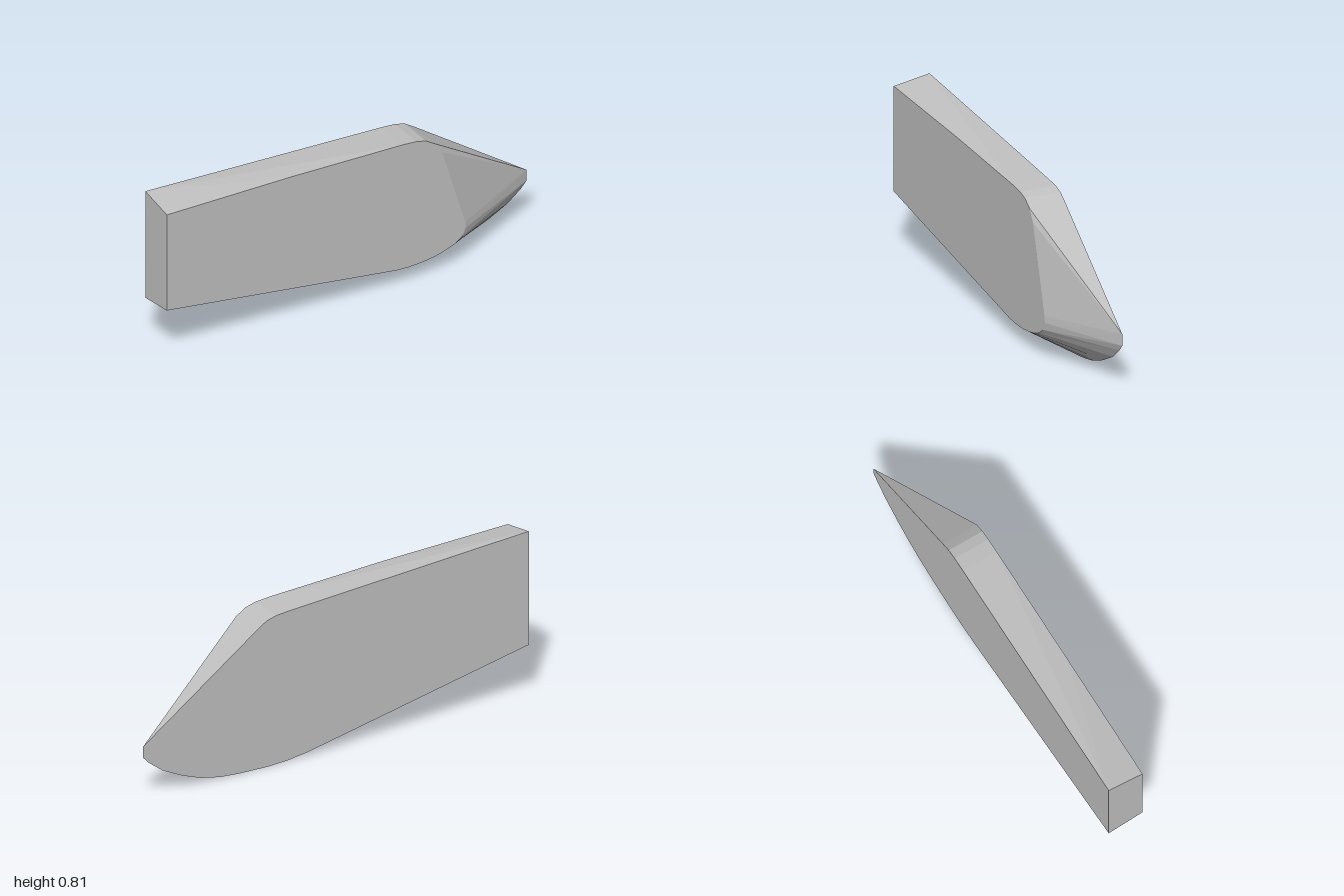
import * as THREE from 'three';

const HALF_DEPTH = 0.087;

// Paired outline points, clockwise from the top left: [backX, backY, frontX, frontY]
const OUTLINE = [
  [-1, 0.812, -1, 0.779],
  [-1, 0.812, -0.35, 0.758],
  [0.24, 0.729, 0.24, 0.728],
  [0.31, 0.722, 0.31, 0.721],
  [0.36, 0.708, 0.36, 0.707],
  [0.41, 0.675, 0.41, 0.675],
  [1, 0.255, 0.41, 0.675],
  [1, 0.255, 0.445, 0.62],
  [1, 0.25, 0.565, 0.22],
  [1, 0.2, 0.568, 0.19],
  [0.97, 0.168, 0.55, 0.152],
  [0.9, 0.115, 0.51, 0.125],
  [0.8, 0.066, 0.45, 0.104],
  [0.7, 0.03, 0.4, 0.094],
  [0.6, 0.01, 0.35, 0.088],
  [0.5, 0.003, 0.31, 0.086],
  [0.35, 0, 0.26, 0.086],
  [0.25, 0.006, 0.2, 0.091],
  [0.15, 0.02, 0.1, 0.107],
  [-1, 0.262, -1, 0.285],
];

function meshFromTriangles(name, triangles, material) {
  const points = [];
  for (const [a, b, c] of triangles) {
    if (new THREE.Triangle(a, b, c).getArea() > 1e-7) points.push(a, b, c);
  }
  const geometry = new THREE.BufferGeometry().setFromPoints(points);
  geometry.computeVertexNormals();
  const mesh = new THREE.Mesh(geometry, material);
  mesh.name = name;
  return mesh;
}

export function createModel() {
  const grey = new THREE.MeshStandardMaterial({ color: 0xc0c0c0 });
  grey.name = 'plain grey';

  const back = OUTLINE.map(([x, y]) => new THREE.Vector3(x, y, -HALF_DEPTH));
  const front = OUTLINE.map(([, , x, y]) => new THREE.Vector3(x, y, HALF_DEPTH));
  const backCentre = new THREE.Vector3(0, 0.4, -HALF_DEPTH);
  const frontCentre = new THREE.Vector3(0, 0.4, HALF_DEPTH);

  const rim = [], backFace = [], frontFace = [];
  for (let i = 0; i < OUTLINE.length; i++) {
    const j = (i + 1) % OUTLINE.length;
    rim.push([back[i], front[i], front[j]], [back[i], front[j], back[j]]);
    frontFace.push([frontCentre, front[j], front[i]]);
    backFace.push([backCentre, back[i], back[j]]);
  }

  const group = new THREE.Group();
  group.name = 'bevelledBlade';
  group.add(
    meshFromTriangles('bevelledRim', rim, grey),
    meshFromTriangles('frontFace', frontFace, grey),
    meshFromTriangles('backFace', backFace, grey),
  );
  return group;
}
